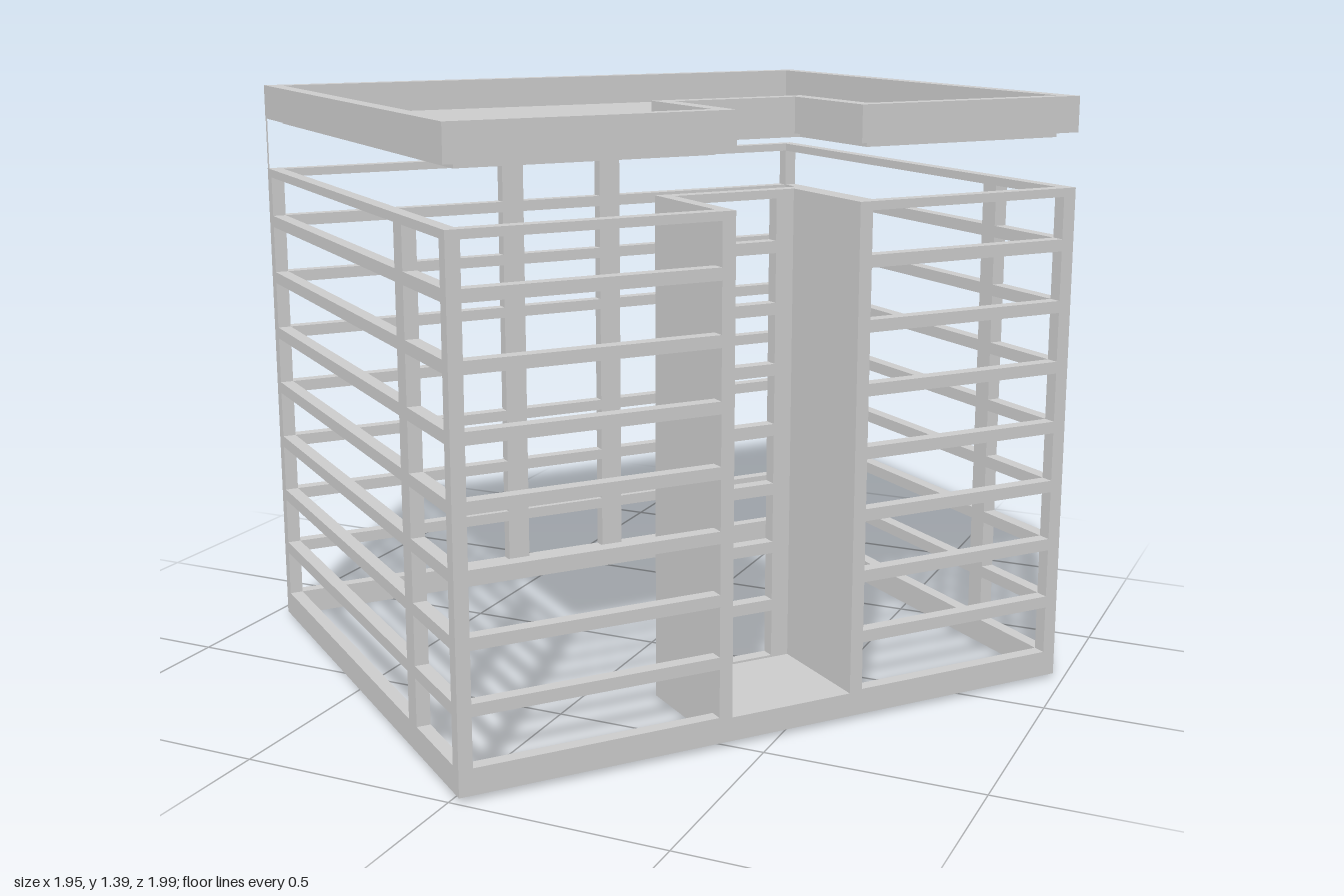
import * as THREE from 'three';

const grey = new THREE.MeshStandardMaterial({ color: 0xcccccc, flatShading: true });

// Plan of the building, in its own axes (the notch opens on the +z side)
const HW = 0.763, HD = 0.635;
const N0 = -0.122, N1 = 0.183, NZ = 0.357;
const T = 0.032;
const WALL_TOP = 1.175, BASE_TOP = 0.06, FLOORS = 8, STOREY = 0.143, BEAM = 0.028;

function add(parent, name, geometry) {
  const mesh = new THREE.Mesh(geometry, grey);
  mesh.name = name;
  parent.add(mesh);
  return mesh;
}

// Notched outline, moved inwards by d
function outline(d) {
  return [
    [-HW + d, -HD + d], [HW - d, -HD + d], [HW - d, HD - d], [N1 + d, HD - d],
    [N1 + d, NZ - d], [N0 - d, NZ - d], [N0 - d, HD - d], [-HW + d, HD - d],
  ].map(([x, z]) => new THREE.Vector2(x, z));
}

// Horizontal plate from a plan shape, between two heights
function plate(shape, bottom, top) {
  const g = new THREE.ExtrudeGeometry(shape, { depth: top - bottom, bevelEnabled: false });
  return g.rotateX(Math.PI / 2).translate(0, top, 0);
}

function rect(x0, y0, x1, y1, Kind) {
  return new Kind([[x0, y0], [x1, y0], [x1, y1], [x0, y1]].map(([x, y]) => new THREE.Vector2(x, y)));
}

// Wall from p to q with its outer face on that line; bays lists [start, end] of the openings
function wall(parent, name, p, q, bays, lead = 0, tail = 0) {
  const dx = q[0] - p[0], dz = q[1] - p[1], length = Math.hypot(dx, dz);
  const shape = rect(-lead, 0, length + tail, WALL_TOP, THREE.Shape);
  for (const [a, b] of bays(length)) {
    for (let k = 0; k < FLOORS; k++) {
      const centre = 0.043 + STOREY * k;
      const low = k === 0 ? BASE_TOP : centre + BEAM / 2;
      const high = k === FLOORS - 1 ? WALL_TOP - 0.02 : centre + STOREY - BEAM / 2;
      shape.holes.push(rect(a, low, b, high, THREE.Path));
    }
  }
  const g = new THREE.ExtrudeGeometry(shape, { depth: T, bevelEnabled: false });
  const mesh = add(parent, name, g.translate(0, 0, -T));
  mesh.position.set(p[0], 0, p[1]);
  mesh.rotation.y = Math.atan2(-dz, dx);
}

// Bays between end posts and mullions given by their centres
function bays(post, mullions = [], width = 0.05) {
  return (length) => {
    const cuts = [post, ...mullions.flatMap((m) => [m - width / 2, m + width / 2]), length - post];
    const list = [];
    for (let i = 0; i < cuts.length; i += 2) list.push([cuts[i], cuts[i + 1]]);
    return list;
  };
}
const solid = () => [];

export function createModel() {
  const model = new THREE.Group();
  model.name = 'building';
  const block = new THREE.Group();
  block.name = 'block';
  block.rotation.y = 0.897;
  model.add(block);

  // Outer walls
  wall(block, 'leftWall', [-HW, -HD], [-HW, HD], bays(T, [NZ + HD]));
  wall(block, 'frontWallLeft', [-HW, HD], [N0, HD], bays(T));
  wall(block, 'frontWallRight', [N1, HD], [HW, HD], bays(T));
  wall(block, 'rightWall', [HW, HD], [HW, -HD], bays(T, [HD - NZ]));
  wall(block, 'backWall', [HW, -HD], [-HW, -HD], bays(T, [HW - N1 + 0.01, HW - N0 - 0.01], 0.06));

  // Entrance notch: solid sides, windowed back, floor slab
  wall(block, 'notchSideLeft', [N0, HD], [N0, NZ], solid, 0, T);
  wall(block, 'notchBack', [N0, NZ], [N1, NZ], bays(0.045));
  wall(block, 'notchSideRight', [N1, NZ], [N1, HD], solid, T, 0);
  const floor = add(block, 'notchFloor', new THREE.BoxGeometry(N1 - N0, 0.055, HD - NZ));
  floor.position.set((N0 + N1) / 2, 0.0275, (HD + NZ) / 2);

  // Floating roof: parapet ring around a thin slab
  const ring = new THREE.Shape(outline(0));
  ring.holes.push(new THREE.Path(outline(0.038)));
  add(block, 'roofParapet', plate(ring, 1.3, 1.382));
  add(block, 'roofSlab', plate(new THREE.Shape(outline(0.034)), 1.288, 1.308));

  // Thin rod joining roof and wall at one corner
  const rod = add(block, 'cornerRod', new THREE.BoxGeometry(0.003, 0.14, 0.003));
  rod.position.set(-HW + 0.002, 1.235, -HD + 0.002);

  // Slight lean of the whole building
  model.rotation.set(-0.006, 0, 0.005);
  model.position.set(0.0035, 0.009, 0.004);
  const root = new THREE.Group();
  root.name = 'model';
  root.add(model);
  return root;
}
